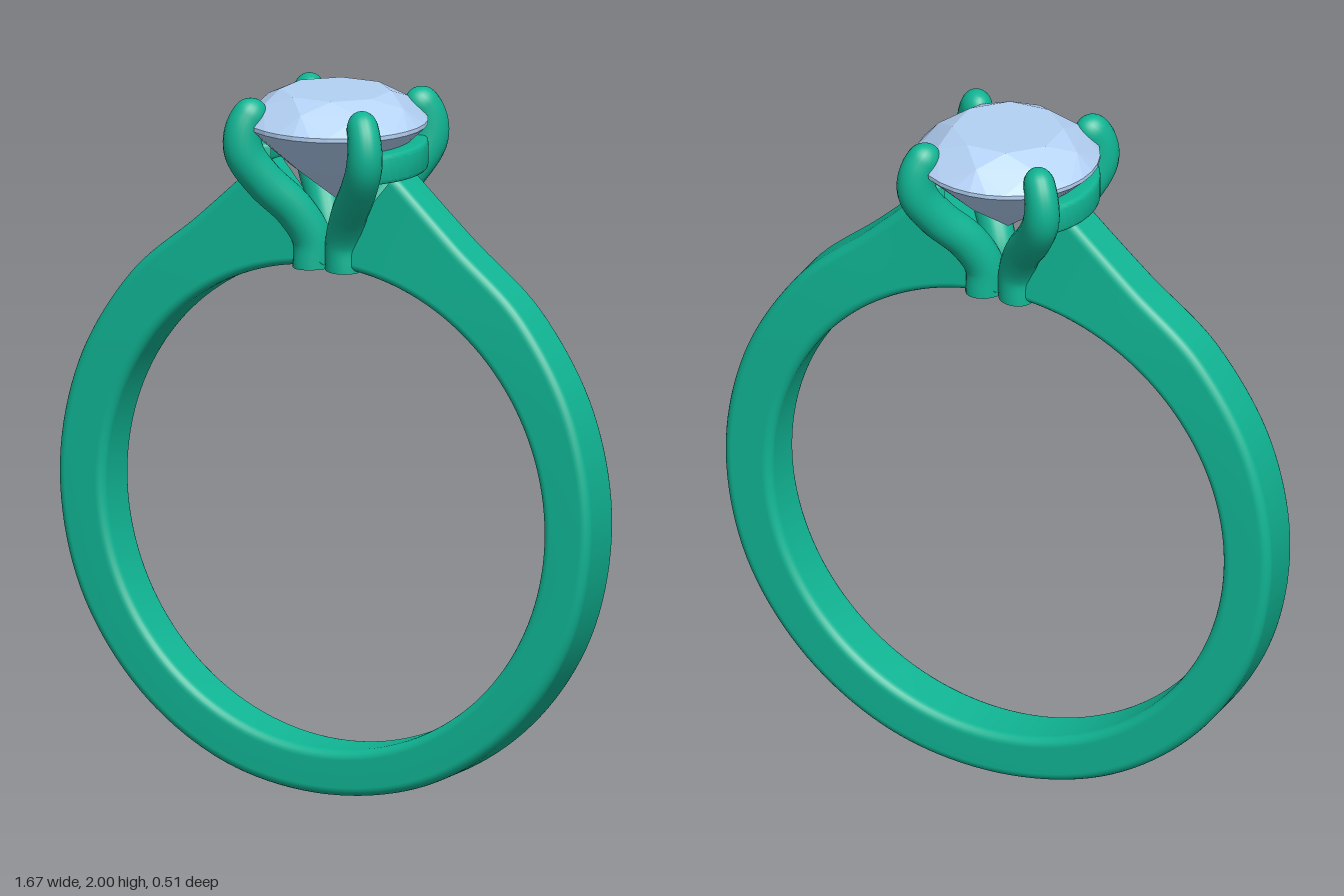
import * as THREE from 'three';
import { toCreasedNormals } from 'three/addons/utils/BufferGeometryUtils.js';
import { ConvexGeometry } from 'three/addons/geometries/ConvexGeometry.js';

const metal = new THREE.MeshStandardMaterial({ color: 0x10b594 });
const gem = new THREE.MeshStandardMaterial({ color: 0xb4d2f6 });

// Skin a list of closed cross-sections (arrays of Vector3) and cap both ends.
function loft(rings) {
  const n = rings[0].length, pos = [], idx = [];
  const add = (p) => pos.push(p.x, p.y, p.z) / 3 - 1;
  rings.forEach((ring) => ring.forEach(add));
  for (let i = 0; i < rings.length - 1; i++) {
    for (let j = 0; j < n; j++) {
      const k = (j + 1) % n;
      const a = i * n + j, d = i * n + k, b = a + n, c = d + n;
      idx.push(a, d, b, d, c, b);
    }
  }
  const cap = (ring, flip) => {
    const mid = new THREE.Vector3();
    ring.forEach((p) => mid.addScaledVector(p, 1 / n));
    const centre = add(mid);
    ring.forEach(add);
    for (let j = 0; j < n; j++) {
      const a = centre + 1 + j, b = centre + 1 + (j + 1) % n;
      idx.push(centre, flip ? b : a, flip ? a : b);
    }
  };
  cap(rings[0], true);
  cap(rings[rings.length - 1], false);
  const g = new THREE.BufferGeometry();
  g.setAttribute('position', new THREE.Float32BufferAttribute(pos, 3));
  g.setIndex(idx);
  g.computeVertexNormals();
  return g;
}

// Band: round inside, outside flaring into the two shoulders.
function bandGeometry() {
  const half = [[0, 0], [0.317, 0.058], [0.585, 0.235], [0.77, 0.505], [0.836, 0.83],
    [0.78, 1.15], [0.62, 1.42], [0.41, 1.605], [0.215, 1.785]];
  const pts = [
    ...half.slice().reverse().map(([x, y]) => new THREE.Vector3(x, y, 0)),
    ...half.slice(1).map(([x, y]) => new THREE.Vector3(-x, y, 0)),
  ];
  const outerCurve = new THREE.CatmullRomCurve3(pts, false, 'catmullrom', 0.5);
  const rings = [], steps = 144, r = 0.026;
  for (let i = 0; i <= steps; i++) {
    const s = 1 - 2 * i / steps, ang = s * Math.PI;
    const inner = new THREE.Vector3(0.69 * Math.sin(ang), 0.82 - 0.69 * Math.cos(ang), 0);
    const outer = outerCurve.getPoint(i / steps);
    const a = inner.distanceTo(outer) / 2;
    const taper = 0.018 * THREE.MathUtils.smoothstep(Math.abs(s), 0.45, 1);
    const ring = [];
    // Rounded rectangle section: u runs from inside to outside, v across the width.
    for (let q = 0; q < 4; q++) {
      for (let k = 0; k <= 5; k++) {
        const t = (q + k / 5) * Math.PI / 2;
        const su = q === 0 || q === 3 ? 1 : -1, sv = q < 2 ? 1 : -1;
        const u = (su * (a - r) + r * Math.cos(t)) / a;
        const f = (u + 1) / 2;
        const v = sv * (0.083 - r) + r * Math.sin(t);
        const p = inner.clone().lerp(outer, f);
        p.z = v * (1 - taper * f / 0.083);
        ring.push(p);
      }
    }
    rings.push(ring);
  }
  return loft(rings);
}

// Claw: a curved tube in the xy plane with a rounded tip.
function prongGeometry() {
  const curve = new THREE.CatmullRomCurve3(
    [[0.068, 1.5], [0.07, 1.58], [0.12, 1.665], [0.21, 1.755], [0.268, 1.84], [0.268, 1.91], [0.222, 1.985]]
      .map(([x, y]) => new THREE.Vector3(x, y, 0)));
  const rings = [], steps = 60;
  for (let i = 0; i <= steps; i++) {
    const t = 1 - (1 - i / steps) ** 1.5;
    const c = curve.getPointAt(t), tan = curve.getTangentAt(t);
    const end = Math.max(0, (t - 0.91) / 0.09);
    const k = Math.sqrt(Math.max(1e-4, 1 - end * end)) * (1 - 0.15 * THREE.MathUtils.smoothstep(t, 0.7, 1));
    const ring = [];
    for (let j = 0; j < 20; j++) {
      const w = j / 20 * Math.PI * 2, n = 0.056 * k * Math.cos(w);
      ring.push(new THREE.Vector3(c.x + tan.y * n, c.y - tan.x * n, -0.05 * k * Math.sin(w)));
    }
    rings.push(ring);
  }
  return loft(rings);
}

// Gallery: curved bar joining the two claws on one side.
function galleryGeometry() {
  const e = Math.PI / 4;
  const shape = new THREE.Shape();
  shape.absarc(0, 0, 0.245, -e, e, false);
  shape.absarc(0, 0, 0.205, e, -e, true);
  const g = new THREE.ExtrudeGeometry(shape, {
    depth: 0.06, curveSegments: 24, bevelSize: 0.012, bevelThickness: 0.012, bevelSegments: 3,
  });
  g.rotateX(-Math.PI / 2).translate(0, 1.79, 0);
  return toCreasedNormals(g, 0.7);
}

// Stone: brilliant cut as the hull of its facet corners.
function stoneGeometry() {
  const pts = [new THREE.Vector3(0, 1.69, 0)];
  const circle = (n, r, y, shift = 0) => {
    for (let i = 0; i < n; i++) {
      const a = (i + shift) / n * Math.PI * 2;
      pts.push(new THREE.Vector3(r * Math.cos(a), y, r * Math.sin(a)));
    }
  };
  circle(8, 0.155, 2.0, 0.5);
  circle(8, 0.212, 1.968);
  circle(32, 0.257, 1.918);
  circle(32, 0.257, 1.906);
  circle(8, 0.13, 1.785, 0.5);
  return new ConvexGeometry(pts);
}

export function createModel() {
  const model = new THREE.Group();
  model.name = 'ring';
  const add = (name, geometry, material, turn = 0) => {
    const mesh = new THREE.Mesh(geometry, material);
    mesh.name = name;
    mesh.rotation.y = turn;
    model.add(mesh);
  };
  add('band', bandGeometry(), metal);
  const prong = prongGeometry(), gallery = galleryGeometry();
  for (let i = 0; i < 4; i++) add('prong' + (i + 1), prong, metal, (i + 0.5) * Math.PI / 2);
  add('galleryLeft', gallery, metal);
  add('galleryRight', gallery, metal, Math.PI);
  add('stone', stoneGeometry(), gem);
  return model;
}
